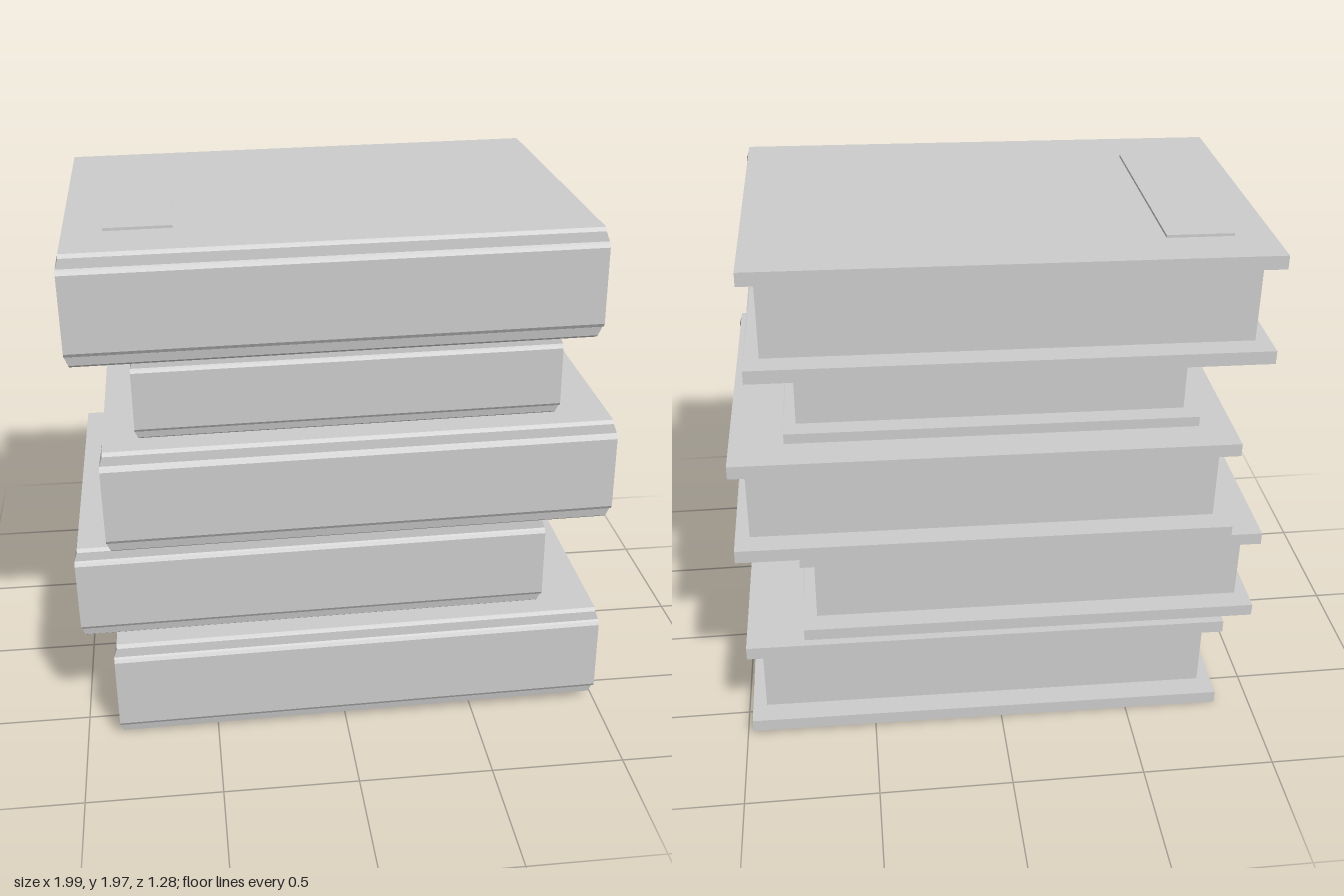
import * as THREE from 'three';

const H = 0.408;          // book height
const T = 0.05;           // board thickness
const HALF = 0.92;        // half length of the boards
const TILT = 0.0135;      // every book leans up slightly towards +x

const material = new THREE.MeshStandardMaterial({ color: 0xcccccc, flatShading: true });

// C-shaped case: two boards joined by a thick bulging spine, as (z, y) points
const CASE_PROFILE = [
  [-0.64, 0], [0.53, 0], [0.595, 0], [0.612, 0.012], [0.618, 0.046],
  [0.632, 0.052], [0.64, 0.065], [0.64, 0.342], [0.632, 0.354],
  [0.625, 0.36], [0.622, 0.395], [0.612, H], [0.53, H], [-0.64, H],
  [-0.64, H - T], [0.53, H - T], [0.53, T], [-0.64, T],
];

function caseGeometry() {
  const shape = new THREE.Shape(CASE_PROFILE.map(([z, y]) => new THREE.Vector2(-z, y)));
  const geo = new THREE.ExtrudeGeometry(shape, { depth: 2 * HALF, bevelEnabled: false });
  geo.translate(0, 0, -HALF).rotateY(Math.PI / 2);
  // Flare the ends of the spine a little past the boards
  const p = geo.attributes.position;
  for (let i = 0; i < p.count; i++) {
    const y = p.getY(i);
    if (p.getZ(i) > 0.6 && y > 0.03 && y < 0.37) p.setX(i, p.getX(i) * 1.0135);
  }
  geo.computeVertexNormals();
  return geo;
}

function mesh(name, geometry, x = 0, y = 0, z = 0) {
  const m = new THREE.Mesh(geometry, material);
  m.name = name;
  m.position.set(x, y, z);
  return m;
}

export function createModel() {
  const model = new THREE.Group();
  model.name = 'bookStack';

  const cover = caseGeometry();
  const pages = new THREE.BoxGeometry(2 * (HALF - 0.053), H - 2 * T, 1.09);

  // Bottom to top: centre x, bottom y, centre z, scale
  const books = [
    [0.0575, 0.014, 0, [1, 1, 1]],
    [-0.115, 0.43, -0.0175, [0.943, 0.94, 0.942]],
    [0.0575, 0.818, 0, [1, 1, 1]],
    [0.0175, 1.23, 0.0275, [0.823, 0.775, 0.832]],
    [-0.035, 1.547, 0, [1, 1, 1]],
  ];
  const groups = books.map(([x, y, z, scale], i) => {
    const book = new THREE.Group();
    book.name = `book${i + 1}`;
    book.add(mesh('cover', cover), mesh('pages', pages, 0, H / 2, -0.005));
    book.position.set(x, y, z);
    book.rotation.z = TILT;
    book.scale.set(...scale);
    model.add(book);
    return book;
  });

  // Thin plate on the top cover
  const plate = new THREE.BoxGeometry(0.24, 0.02, 0.84);
  groups[4].add(mesh('coverLabel', plate, -0.66, H, -0.035));

  return model;
}
